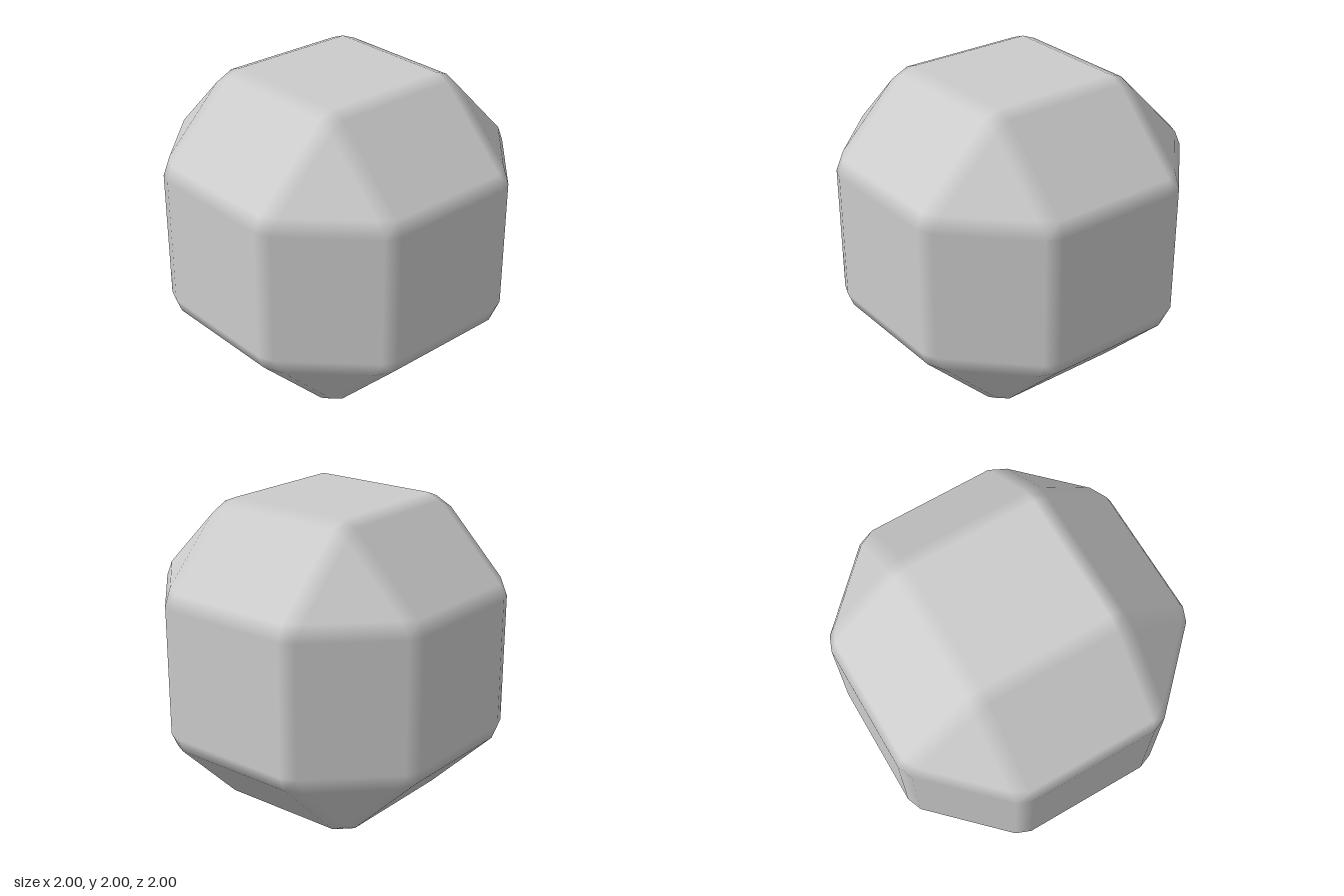
import * as THREE from 'three';
import { ConvexGeometry } from 'three/addons/geometries/ConvexGeometry.js';

// One corner of each kind of flat panel; symmetry gives all the others.
const SQUARE = [1, 0.417, 0.417];    // six squares facing along the axes
const SLANT = [0.962, 0.513, 0.417]; // twelve panels between two squares
const TRIANGLE = [0.904, 0.523, 0.523]; // eight triangles at the diagonals

const ORDERS = [[0, 1, 2], [0, 2, 1], [1, 0, 2], [1, 2, 0], [2, 0, 1], [2, 1, 0]];

// All distinct axis swaps and mirrorings of a corner
function symmetricPoints(corner) {
  const points = new Map();
  for (const order of ORDERS) {
    for (let bits = 0; bits < 8; bits++) {
      const p = order.map((k, i) => (bits >> i & 1 ? -corner[k] : corner[k]));
      points.set(p.join(), new THREE.Vector3(...p));
    }
  }
  return [...points.values()];
}

// Normal of the flat panel that owns a corner
function panelNormal(p) {
  const size = Math.max(Math.abs(p.x), Math.abs(p.y), Math.abs(p.z));
  const limit = size > 0.98 ? 0.9 : size > 0.93 ? 0.46 : 0;
  const pick = (v) => (Math.abs(v) > limit ? Math.sign(v) : 0);
  return new THREE.Vector3(pick(p.x), pick(p.y), pick(p.z)).normalize();
}

export function createModel() {
  const group = new THREE.Group();
  group.name = 'bevelledRhombicuboctahedron';

  // Panels and the bevels between them form one convex skin
  const geometry = new ConvexGeometry([SQUARE, SLANT, TRIANGLE].flatMap(symmetricPoints));

  // Panels stay flat while the bevels blend smoothly from panel to panel
  const position = geometry.attributes.position;
  const normal = geometry.attributes.normal;
  const p = new THREE.Vector3();
  for (let i = 0; i < position.count; i++) {
    const n = panelNormal(p.fromBufferAttribute(position, i));
    normal.setXYZ(i, n.x, n.y, n.z);
  }

  const body = new THREE.Mesh(geometry, new THREE.MeshStandardMaterial({ color: 0xcccccc }));
  body.name = 'bevelledBody';
  body.position.y = 1;
  group.add(body);
  return group;
}
